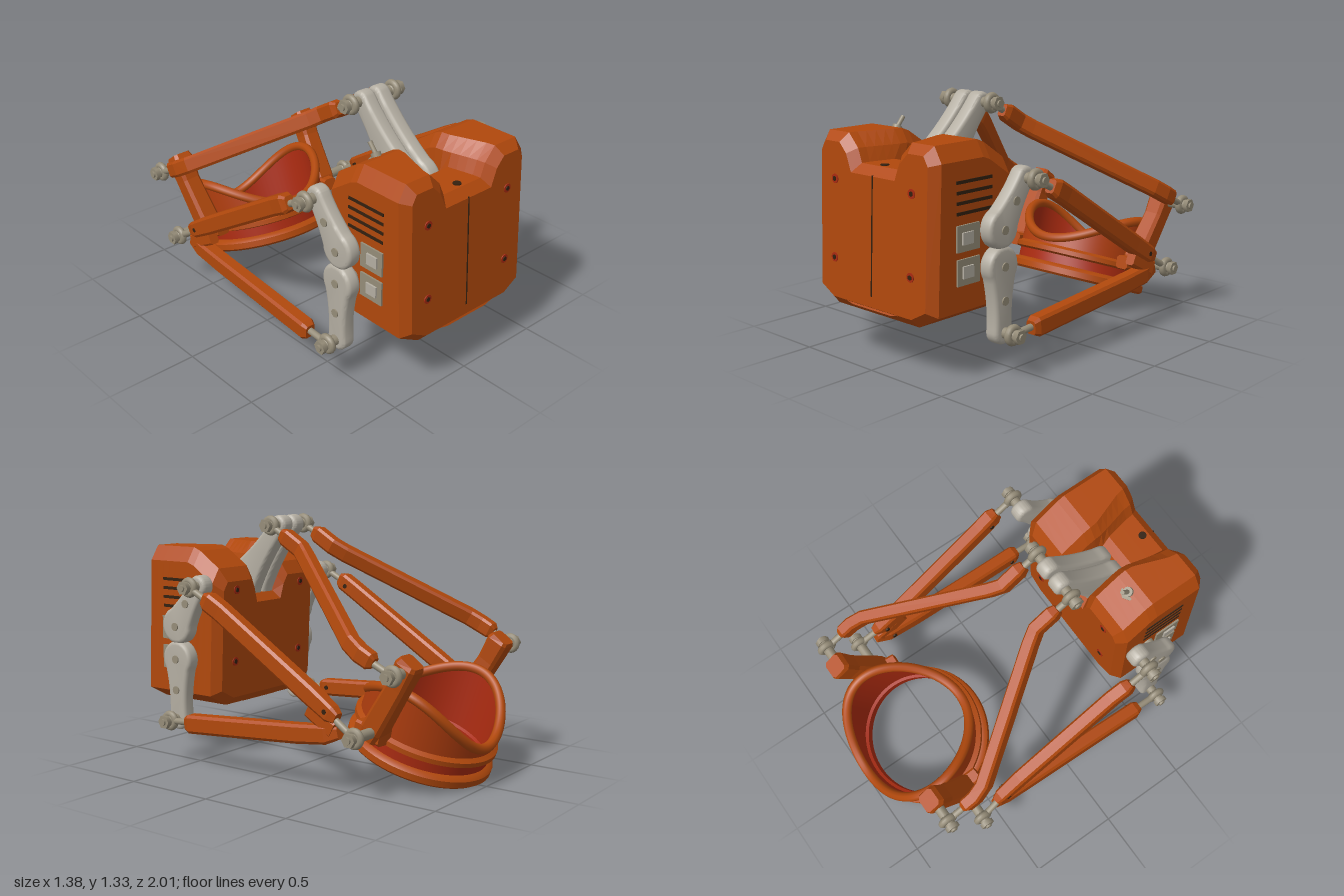
import * as THREE from 'three';
import { toCreasedNormals } from 'three/addons/utils/BufferGeometryUtils.js';

const V = (x, y, z) => new THREE.Vector3(x, y, z);
const paint = (color, flatShading = false) => new THREE.MeshStandardMaterial({ color, flatShading });
const ORANGE = paint(0xb0480c), ORANGE_FLAT = paint(0xb0480c, true), RED = paint(0xa82a10), RUST = paint(0xac3c0e);
const PALE = paint(0xb4aea2), STEEL = paint(0x958c78), DARK = paint(0x33200f);

function add(parent, name, geometry, material, x = 0, y = 0, z = 0) {
  const mesh = new THREE.Mesh(geometry, material);
  mesh.name = name;
  mesh.position.set(x, y, z);
  parent.add(mesh);
  return mesh;
}

// Round bar between two points
function bar(parent, name, a, b, r, material, sides = 14) {
  const d = b.clone().sub(a);
  const m = add(parent, name, new THREE.CylinderGeometry(r, r, d.length(), sides), material);
  m.position.copy(a).add(b).multiplyScalar(0.5);
  m.quaternion.setFromUnitVectors(V(0, 1, 0), d.normalize());
}

// Chamfered rectangular beam swept along points [x, y, z, scale]
function beam(parent, name, path, w, h) {
  const c = 0.3, pts = path.map(p => V(p[0], p[1], p[2])), pos = [], idx = [];
  const section = [[1, -1 + c], [1, 1 - c], [1 - c, 1], [-1 + c, 1], [-1, 1 - c], [-1, -1 + c], [-1 + c, -1], [1 - c, -1]];
  const last = pts.length - 1;
  pts.forEach((p, i) => {
    const t = pts[Math.min(i + 1, last)].clone().sub(pts[Math.max(i - 1, 0)]).normalize();
    const v = t.clone().cross(V(1, 0, 0)).normalize(), u = v.clone().cross(t), s = path[i][3] ?? 1;
    for (const [a, b] of section) {
      const q = p.clone().addScaledVector(u, a * s * w / 2).addScaledVector(v, b * s * h / 2);
      pos.push(q.x, q.y, q.z);
    }
  });
  for (let i = 0; i < last; i++) for (let j = 0; j < 8; j++) {
    const a = i * 8 + j, b = i * 8 + (j + 1) % 8;
    idx.push(a, b, b + 8, a, b + 8, a + 8);
  }
  for (let j = 1; j < 7; j++) idx.push(0, j + 1, j, last * 8, last * 8 + j, last * 8 + j + 1);
  const g = new THREE.BufferGeometry();
  g.setAttribute('position', new THREE.Float32BufferAttribute(pos, 3));
  g.setIndex(idx);
  g.computeVertexNormals();
  add(parent, name, g, ORANGE_FLAT);
}

// Waisted lever between two round ends, given as [z, y, radius]
function crank(parent, name, x, a, b, width, waist) {
  const dz = b[0] - a[0], dy = b[1] - a[1], f = Math.atan2(dy, dz), d = Math.hypot(dz, dy);
  const k = 1.0, bevel = 0.02, m = a[2] + (d - a[2]) * 0.4;
  // Waist control point, on the given side of the centre line
  const mid = s => [a[0] + m * dz / d - s * waist * dy / d, a[1] + m * dy / d + s * waist * dz / d];
  const end = s => [b[0] + b[2] * Math.cos(f + s * 1.6), b[1] + b[2] * Math.sin(f + s * 1.6)];
  const shape = new THREE.Shape();
  shape.absarc(a[0], a[1], a[2], f + k, f - k + Math.PI * 2, false);
  shape.quadraticCurveTo(...mid(-1), ...end(-1));
  shape.absarc(b[0], b[1], b[2], f - 1.6, f + 1.6, false);
  shape.quadraticCurveTo(...mid(1), a[0] + a[2] * Math.cos(f + k), a[1] + a[2] * Math.sin(f + k));
  const g = new THREE.ExtrudeGeometry(shape, {
    depth: width - 2 * bevel, bevelSize: bevel, bevelThickness: bevel, bevelOffset: -bevel, bevelSegments: 3, curveSegments: 14,
  });
  g.translate(0, 0, -width / 2 + bevel).rotateY(-Math.PI / 2);
  add(parent, name, toCreasedNormals(g, 0.6), PALE, x);
}

// Rod-end joint: pin along x, eye ring, ball, nut and a threaded stud
function joint(parent, s, x, y, z, inner, stud) {
  const g = new THREE.Group();
  g.name = 'ballJoint';
  parent.add(g);
  const at = d => V(s * d, y, z);
  bar(g, 'pin', at(inner), at(x + 0.065), 0.018, STEEL);
  bar(g, 'spacer', at(inner), at(x - 0.025), 0.028, STEEL);
  bar(g, 'washer', at(x + 0.02), at(x + 0.03), 0.028, STEEL);
  bar(g, 'nut', at(x + 0.03), at(x + 0.055), 0.038, STEEL, 6);
  add(g, 'ball', new THREE.SphereGeometry(0.034, 16, 12), STEEL, s * x, y, z);
  add(g, 'eye', new THREE.TorusGeometry(0.036, 0.019, 10, 24), STEEL, s * x, y, z).rotation.y = Math.PI / 2;
  bar(g, 'stud', at(x), V(s * stud[0], stud[1], stud[2]), 0.018, STEEL);
}

function buildBody(root) {
  // Front outline with the top notch, extruded along z
  const half = [[0.3, 0.28], [0.43, 0.35], [0.43, 1.08], [0.38, 1.16], [0.23, 1.16], [0.16, 1.09], [0.13, 1.02]];
  const outline = [...half, ...half.map(([x, y]) => [-x, y]).reverse()].map(p => new THREE.Vector2(...p));
  const g = new THREE.ExtrudeGeometry(new THREE.Shape(outline), {
    depth: 0.46, steps: 10, bevelSize: 0.045, bevelThickness: 0.045, bevelOffset: -0.045, bevelSegments: 1,
  });
  g.translate(0, 0, 0.485);
  // Slope the top down to the back, narrow and deepen the notch there, and lean the whole box back
  const lean = y => 0.045 * (y - 0.33), p = g.attributes.position;
  for (let i = 0; i < p.count; i++) {
    const x = p.getX(i), z = p.getZ(i);
    let y = p.getY(i);
    if (y > 0.9) {
      const back = THREE.MathUtils.clamp((0.92 - z) / 0.22, 0, 1);
      if (Math.abs(x) < 0.3) p.setX(i, x * (1 - 0.35 * back));
      if (y < 1.035 && Math.abs(x) < 0.2) y -= 0.13 * THREE.MathUtils.clamp((0.73 - z) / 0.05, 0, 1);
      else y -= 0.65 * Math.max(0, 0.65 - z) * (y > 1.05 ? 1 : 0.6);
      p.setY(i, y);
    }
    p.setZ(i, z - lean(y));
  }
  g.computeVertexNormals();
  add(root, 'housing', g, ORANGE_FLAT);
  beam(root, 'chinRidge', [[0, 0.31, 0.5, 0.9], [0, 0.315, 0.92], [0, 0.345, 0.975, 0.9]], 0.44, 0.08);
  bar(root, 'frontSeam', V(0, 0.38, 0.986), V(0, 0.98, 0.959), 0.005, DARK, 6);
  bar(root, 'notchScrew', V(0, 1.01, 0.88), V(0, 1.025, 0.88), 0.022, DARK, 10);
  for (const s of [-1, 1]) {
    for (const y of [0.53, 0.93]) for (const face of [0.99, 0.44]) {
      const z = face - lean(y);
      bar(root, 'screwRim', V(s * 0.28, y, z - 0.004), V(s * 0.28, y, z + 0.004), 0.024, RED);
      bar(root, 'screw', V(s * 0.28, y, z - 0.007), V(s * 0.28, y, z + 0.007), 0.013, DARK, 6);
    }
    for (let i = 0; i < 4; i++)
      add(root, 'ventSlot', new THREE.BoxGeometry(0.008, 0.016, 0.24), DARK, s * 0.43, 0.83 + i * 0.05, 0.7);
    for (const y of [0.545, 0.71]) {
      add(root, 'servoPlate', new THREE.BoxGeometry(0.03, 0.13, 0.15), STEEL, s * 0.425, y, 0.75);
      add(root, 'servoCover', new THREE.BoxGeometry(0.03, 0.06, 0.07), PALE, s * 0.435, y, 0.76);
    }
  }
  // Toggle switch on the right shoulder
  bar(root, 'switchBase', V(-0.25, 1.08, 0.6), V(-0.25, 1.135, 0.58), 0.045, STEEL, 6);
  bar(root, 'switchCollar', V(-0.25, 1.12, 0.59), V(-0.25, 1.155, 0.57), 0.026, STEEL);
  bar(root, 'switchLever', V(-0.25, 1.14, 0.58), V(-0.25, 1.2, 0.53), 0.012, STEEL);
}

function buildRing(root) {
  const ring = new THREE.Group();
  ring.name = 'wristRing';
  ring.position.set(0, 0.13, -0.595);
  ring.rotation.x = -0.35;
  root.add(ring);
  // The wall rises and flares towards both sides
  const rise = a => 0.21 * Math.sin(a) ** 2 * (1 - 0.12 * Math.cos(a));
  const spread = up => 1.035 + 0.2 * up;
  const wall = (name, profile, material) => {
    const g = new THREE.LatheGeometry(profile.map(q => new THREE.Vector2(...q)), 72);
    const p = g.attributes.position;
    for (let i = 0; i < p.count; i++) {
      const x = p.getX(i), y = p.getY(i), z = p.getZ(i), up = y > 0.19 ? rise(Math.atan2(x, z)) : 0;
      p.setXYZ(i, x * spread(up), y + up, z);
    }
    g.computeVertexNormals();
    add(ring, name, toCreasedNormals(g, 0.5), material);
  };
  wall('lowerBand', [[0.325, 0.01], [0.335, 0], [0.375, 0], [0.388, 0.012], [0.388, 0.045], [0.375, 0.058], [0.355, 0.065]], ORANGE);
  wall('groove', [[0.355, 0.065], [0.355, 0.115]], RED);
  wall('upperBand', [[0.355, 0.115], [0.382, 0.125], [0.382, 0.15], [0.358, 0.165]], ORANGE);
  wall('sidePanel', [[0.358, 0.165], [0.355, 0.2], [0.335, 0.2]], RUST);
  wall('innerWall', [[0.335, 0.2], [0.34, 0.075], [0.325, 0.065], [0.325, 0.01]], RED);
  // Thick rim following the wavy top edge
  const pts = [];
  for (let i = 0; i < 48; i++) {
    const a = i / 48 * Math.PI * 2, up = rise(a);
    pts.push(V(0.347 * Math.sin(a) * spread(up), 0.2 + up, 0.347 * Math.cos(a)));
  }
  add(ring, 'rim', new THREE.TubeGeometry(new THREE.CatmullRomCurve3(pts, true), 144, 0.027, 10, true), ORANGE);
}

function buildSide(root, s) {
  const side = new THREE.Group();
  side.name = s > 0 ? 'leftLinkage' : 'rightLinkage';
  root.add(side);
  const m = path => path.map(([x, ...rest]) => [s * x, ...rest]);

  // Servo cranks
  crank(side, 'topCrank', s * 0.05, [0.58, 0.92, 0.125], [0.28, 1.28, 0.053], 0.085, 0.05);
  crank(side, 'upperCrank', s * 0.513, [0.62, 0.745, 0.1], [0.46, 0.97, 0.058], 0.08, 0.055);
  crank(side, 'lowerCrank', s * 0.513, [0.62, 0.56, 0.1], [0.62, 0.23, 0.062], 0.08, 0.05);
  for (const [y, z] of [[0.74, 0.62], [0.87, 0.54], [0.56, 0.62], [0.39, 0.62]])
    bar(side, 'crankBolt', V(s * 0.53, y, z), V(s * 0.56, y, z), 0.022, STEEL);
  for (const y of [0.74, 0.56]) bar(side, 'servoAxle', V(s * 0.4, y, 0.62), V(s * 0.49, y, 0.62), 0.03, STEEL);

  // Ball joints
  joint(side, s, 0.145, 1.28, 0.28, 0.08, [0.145, 1.22, 0.17]);
  joint(side, s, 0.59, 0.64, -0.81, 0.5, [0.59, 0.7, -0.68]);
  joint(side, s, 0.605, 0.97, 0.46, 0.54, [0.605, 0.9, 0.32]);
  joint(side, s, 0.605, 0.23, 0.62, 0.54, [0.605, 0.24, 0.47]);
  joint(side, s, 0.625, 0.32, -0.62, 0.48, [0.61, 0.39, -0.5]);

  // Push rods
  beam(side, 'topRod', m([[0.145, 1.235, 0.2, 0.7], [0.145, 1.22, 0.17], [0.145, 1.16, 0.07], [0.18, 1.12, 0.01],
    [0.57, 0.77, -0.56], [0.59, 0.73, -0.63], [0.59, 0.7, -0.69, 0.95], [0.59, 0.69, -0.71, 0.6]]), 0.072, 0.09);
  beam(side, 'upperRod', m([[0.605, 0.92, 0.35, 0.7], [0.605, 0.905, 0.32], [0.6, 0.86, 0.24], [0.6, 0.5, -0.34],
    [0.605, 0.42, -0.47, 0.9], [0.61, 0.4, -0.51, 0.6]]), 0.078, 0.1);
  beam(side, 'lowerRod', m([[0.605, 0.235, 0.49, 0.7], [0.605, 0.237, 0.46], [0.6, 0.255, 0.2], [0.595, 0.29, -0.26],
    [0.595, 0.31, -0.44, 0.95], [0.6, 0.33, -0.52, 0.6]]), 0.08, 0.1);
  beam(side, 'rodBridge', m([[0.595, 0.42, -0.33, 0.8], [0.6, 0.34, -0.49]]), 0.066, 0.09);
  for (const [x, y, z] of [[0.6, 0.88, 0.29], [0.6, 0.43, -0.45], [0.6, 0.24, 0.43], [0.59, 0.31, -0.42]])
    bar(side, 'rodPin', V(s * (x - 0.041), y, z), V(s * (x + 0.041), y, z), 0.013, DARK);

  // Bracket carrying the ring
  beam(side, 'ringBracket', m([[0.455, 0.69, -0.835, 0.85], [0.455, 0.67, -0.82], [0.45, 0.56, -0.76, 0.9],
    [0.43, 0.33, -0.61], [0.43, 0.28, -0.58, 0.85]]), 0.12, 0.12);
  beam(side, 'bracketFoot', m([[0.42, 0.29, -0.66], [0.41, 0.33, -0.5, 0.8]]), 0.1, 0.09);
}

export function createModel() {
  const root = new THREE.Group();
  root.name = 'linkageController';
  buildBody(root);
  buildRing(root);
  for (const s of [-1, 1]) buildSide(root, s);
  return root;
}
